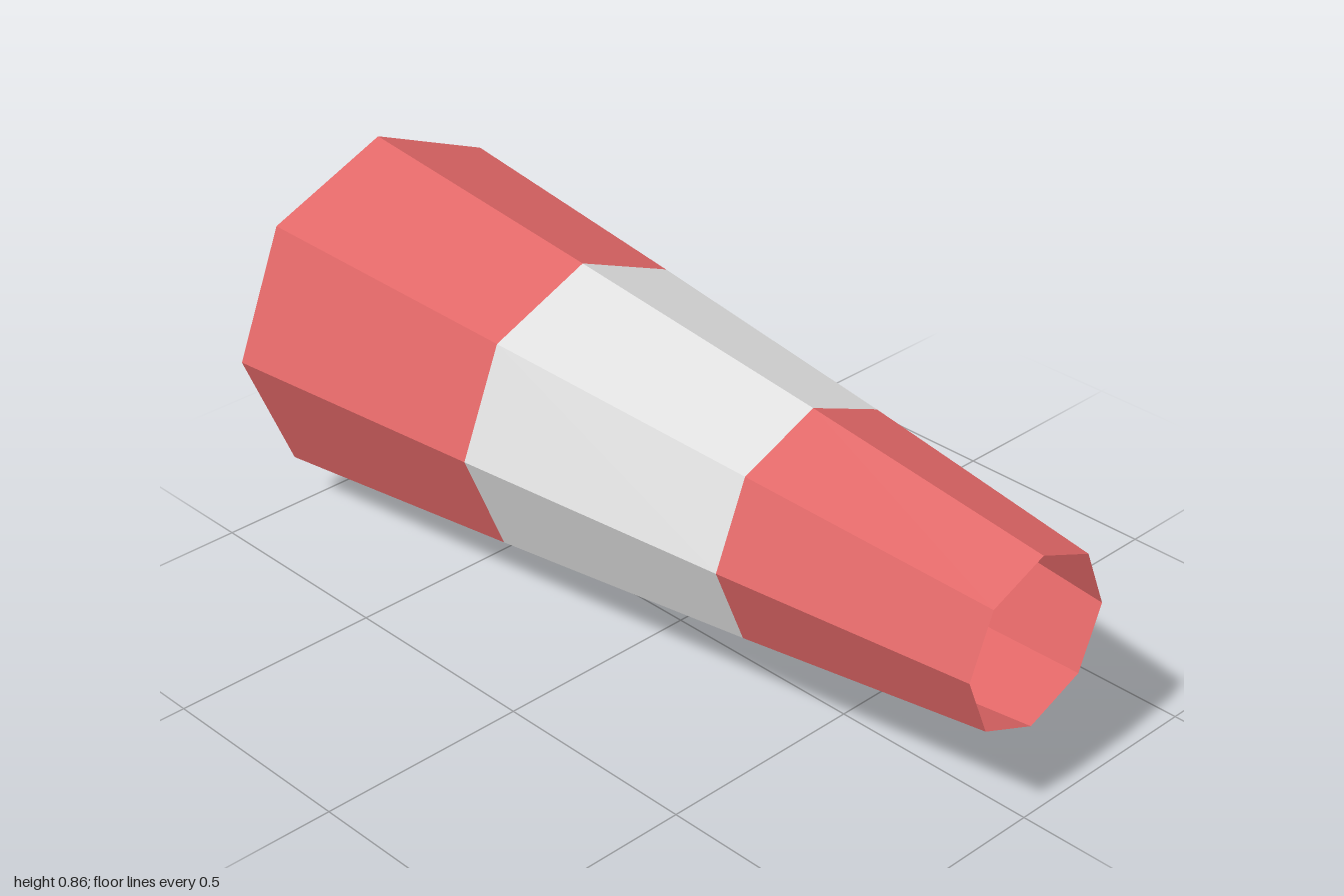
import * as THREE from 'three';

export function createModel() {
  const red = new THREE.MeshStandardMaterial({ name: 'softRed', color: 0xe06666, flatShading: true, side: THREE.DoubleSide });
  const white = new THREE.MeshStandardMaterial({ name: 'paleGrey', color: 0xdedede, flatShading: true, side: THREE.DoubleSide });

  // Cross-sections from the narrow front mouth to the wide back mouth: [z, radius]
  const rings = [[1, 0.2015], [0.387, 0.277], [-0.305, 0.355], [-1, 0.43]];
  const bands = [['frontBand', red], ['middleBand', white], ['backBand', red]];

  const group = new THREE.Group();
  group.name = 'taperedTube';

  // Open eight-sided bands, laid along z
  bands.forEach(([name, material], i) => {
    const [z0, r0] = rings[i];
    const [z1, r1] = rings[i + 1];
    const geometry = new THREE.CylinderGeometry(r0, r1, z0 - z1, 8, 1, true);
    geometry.rotateX(Math.PI / 2);
    const mesh = new THREE.Mesh(geometry, material);
    mesh.name = name;
    mesh.position.set(0, 0.43, (z0 + z1) / 2);
    group.add(mesh);
  });

  return group;
}
